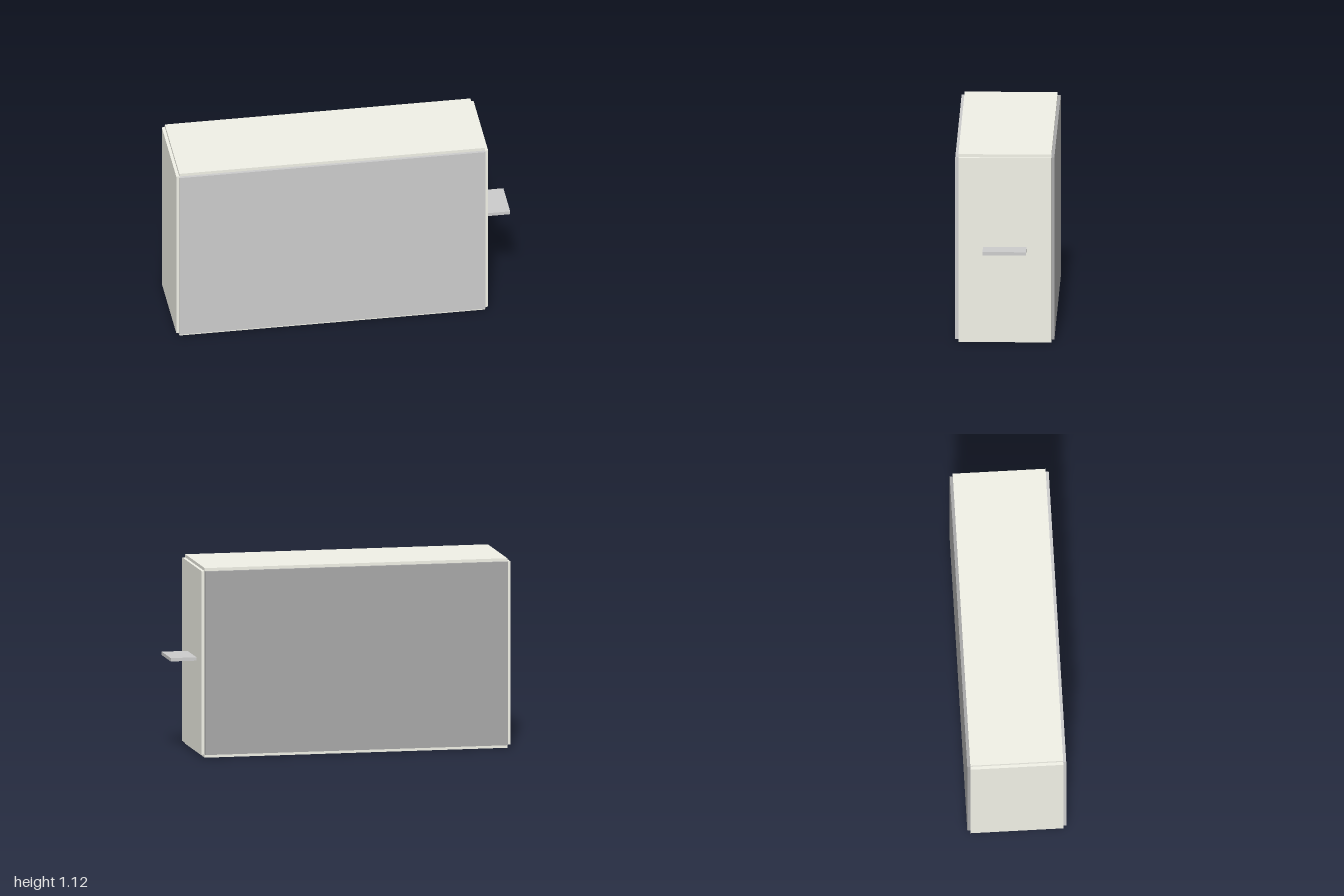
import * as THREE from 'three';

export function createModel() {
  const model = new THREE.Group();
  const shell = new THREE.MeshStandardMaterial({ color: 0xf0f0e6 });
  const frontGrey = new THREE.MeshStandardMaterial({ color: 0xcacaca });
  const backGrey = new THREE.MeshStandardMaterial({ color: 0xa7a7a7 });
  const tabWhite = new THREE.MeshStandardMaterial({ color: 0xffffff });

  // Box given by its extents along each axis
  function slab(name, material, [x0, x1], [y0, y1], [z0, z1]) {
    const mesh = new THREE.Mesh(new THREE.BoxGeometry(x1 - x0, y1 - y0, z1 - z0), material);
    mesh.name = name;
    mesh.position.set((x0 + x1) / 2, (y0 + y1) / 2, (z0 + z1) / 2);
    model.add(mesh);
  }

  // Inner extents of the cabinet; thin panels sit against each side,
  // leaving a small notch along every edge
  const t = 0.018;
  const x = [-0.982, 0.828], y = [t, 1.104], z = [-0.272, 0.272];

  slab('bottomPanel', shell, x, [0, y[0]], z);
  slab('topPanel', shell, x, [y[1], y[1] + t], z);
  slab('rightPanel', shell, [x[0] - t, x[0]], y, z);
  slab('leftPanel', shell, [x[1], x[1] + t], y, z);
  slab('frontPanel', frontGrey, x, y, [z[1], z[1] + t]);
  slab('backPanel', backGrey, x, y, [z[0] - t, z[0]]);

  // Flat tab standing out from the left panel
  slab('sideTab', tabWhite, [x[1] + t, 1], [0.553, 0.573], [-0.127, 0.127]);

  return model;
}
